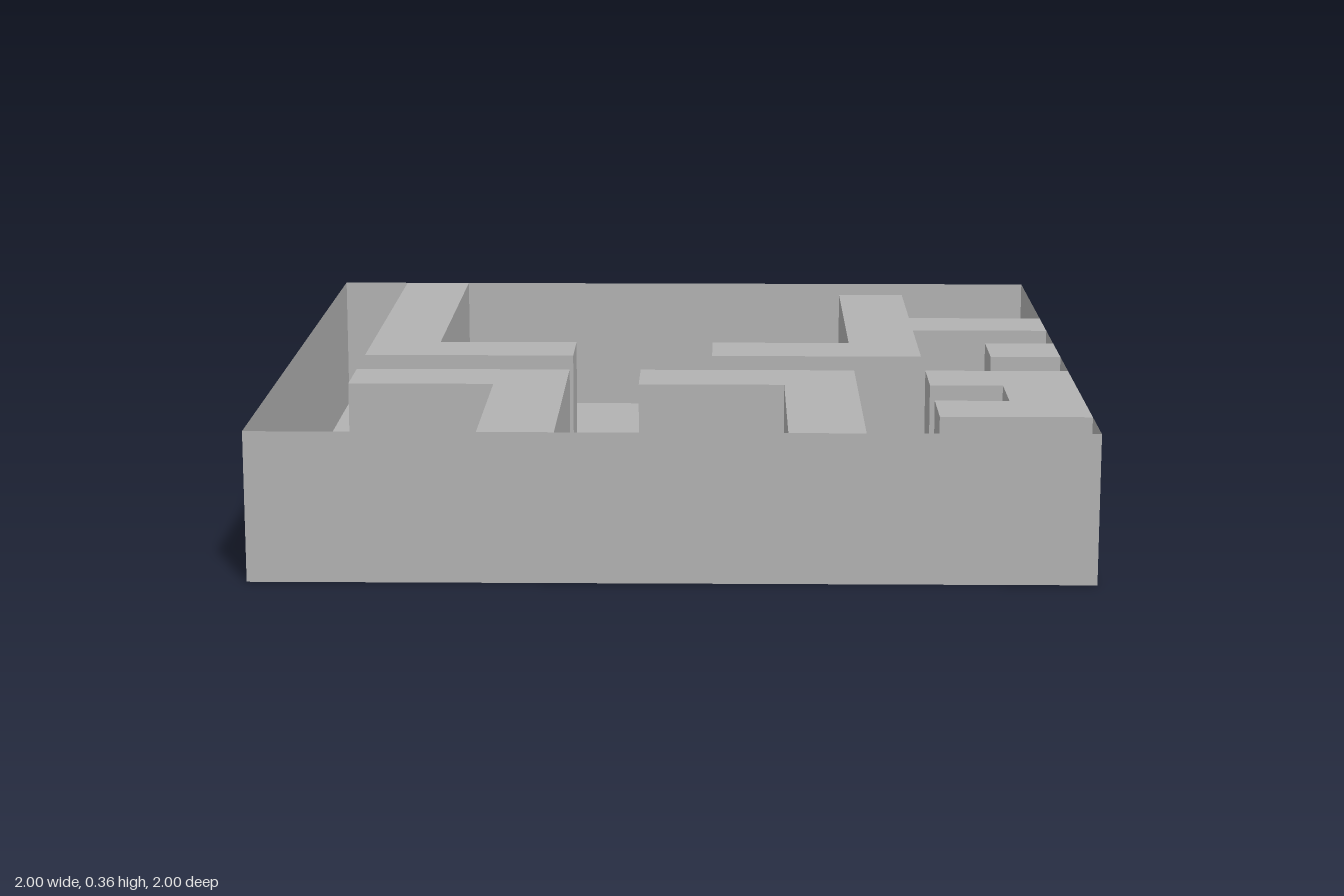
import * as THREE from 'three';

const CELLS = 11;              // the maze sits on an 11 x 11 grid
const CELL = 2 / CELLS;
const HEIGHT = 2 * CELL;
const at = (n) => n * CELL - 1;

// Each wall outline starts and ends on the border, in grid corners [x, z].
const WALLS = {
  backLeftWall: [[1, 0], [1, 6], [4, 6], [4, 5], [2, 5], [2, 0]],
  branchingWall: [[11, 3], [9, 3], [9, 1], [8, 1], [8, 5], [6, 5], [6, 6], [9, 6], [9, 4], [11, 4]],
  stubWall: [[11, 5], [10, 5], [10, 6], [11, 6]],
  hookWall: [[11, 7], [9, 7], [9, 8], [10, 8], [10, 9], [9, 9], [9, 10], [11, 10]],
  frontMiddleWall: [[8, 11], [8, 7], [5, 7], [5, 8], [7, 8], [7, 11]],
  frontLeftWall: [[4, 11], [4, 7], [1, 7], [1, 8], [3, 8], [3, 11]],
};

// Flat horizontal sheet bounded by grid corners
function sheet(points, y) {
  const shape = new THREE.Shape(points.map(([x, z]) => new THREE.Vector2(at(x), -at(z))));
  return new THREE.ShapeGeometry(shape).rotateX(-Math.PI / 2).translate(0, y, 0);
}

// Upright panels following a path of grid corners
function panels(points) {
  const position = [];
  for (let i = 0; i < points.length - 1; i++) {
    const [ax, az] = points[i].map(at);
    const [bx, bz] = points[i + 1].map(at);
    position.push(ax, 0, az, bx, 0, bz, bx, HEIGHT, bz);
    position.push(ax, 0, az, bx, HEIGHT, bz, ax, HEIGHT, az);
  }
  const geometry = new THREE.BufferGeometry();
  geometry.setAttribute('position', new THREE.Float32BufferAttribute(position, 3));
  geometry.computeVertexNormals();
  return geometry;
}

export function createModel() {
  const model = new THREE.Group();
  model.name = 'mazeTray';
  const grey = new THREE.MeshStandardMaterial({ color: 0xb2b2b2, side: THREE.DoubleSide });
  grey.name = 'grey';

  const add = (parent, name, geometry) => {
    const mesh = new THREE.Mesh(geometry, grey);
    mesh.name = name;
    parent.add(mesh);
  };

  // Thin outer rim
  add(model, 'outerRim', panels([[0, 0], [0, 11], [11, 11], [11, 0], [0, 0]]));

  // Floor, notched around the hollow walls
  const w = WALLS;
  add(model, 'floor', sheet([
    [0, 0], ...w.backLeftWall,
    [11, 0], ...w.branchingWall, ...w.stubWall, ...w.hookWall,
    [11, 11], ...w.frontMiddleWall, ...w.frontLeftWall,
    [0, 11],
  ], 0));

  // Maze walls, hollow and open underneath
  for (const [name, path] of Object.entries(WALLS)) {
    const wall = new THREE.Group();
    wall.name = name;
    add(wall, name + 'Sides', panels(path));
    add(wall, name + 'Top', sheet(path, HEIGHT));
    model.add(wall);
  }
  return model;
}
